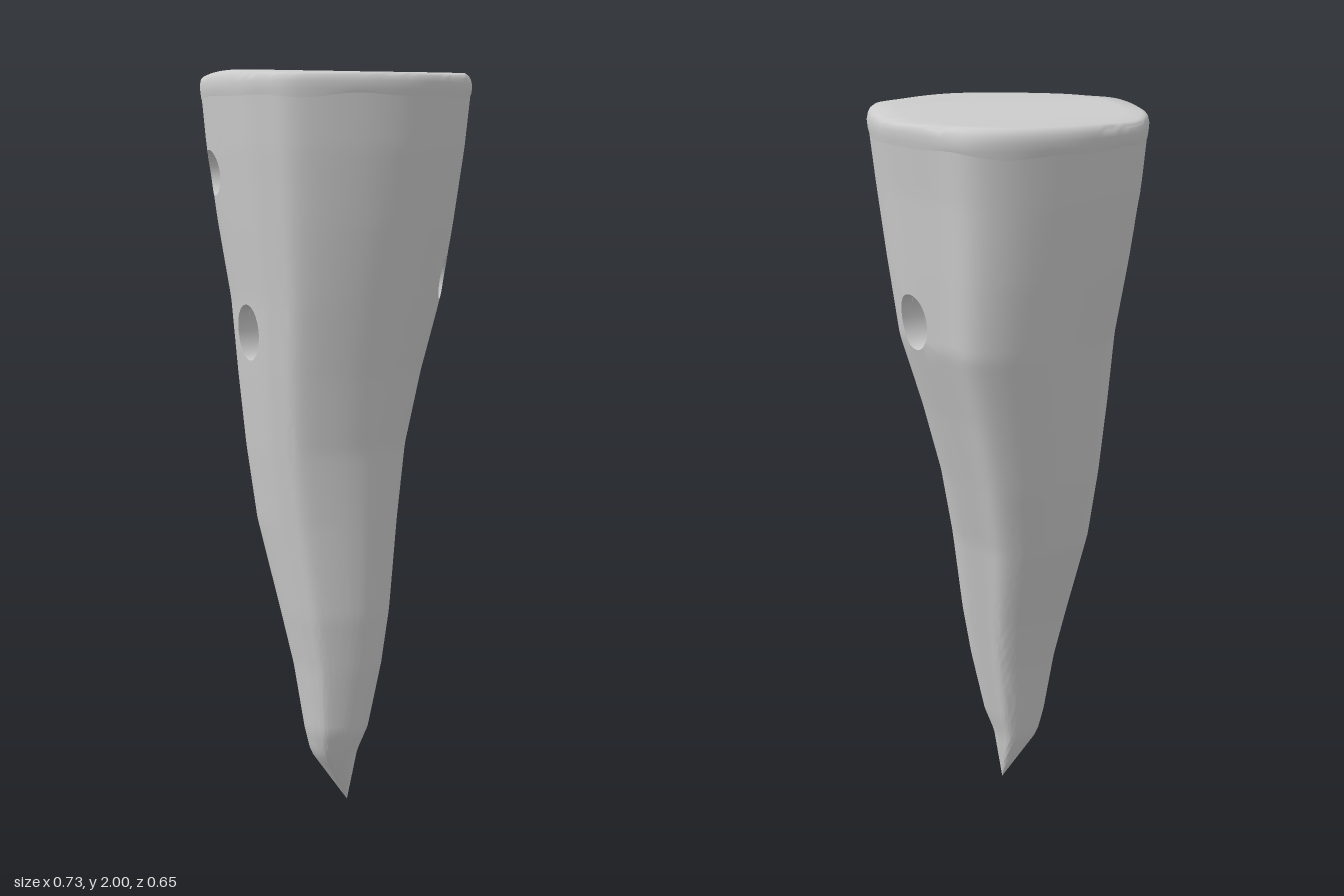
import * as THREE from 'three';
import { toCreasedNormals } from 'three/addons/utils/BufferGeometryUtils.js';

const N = 104; // points around
const material = new THREE.MeshStandardMaterial({ color: 0xcccccc });

// irregular rim outline (x, z)
const rim = [
  [-0.365, 0.045], [-0.335, -0.08], [-0.285, -0.18], [-0.2, -0.285], [-0.12, -0.33], [0, -0.322],
  [0.12, -0.315], [0.18, -0.305], [0.26, -0.26], [0.32, -0.2], [0.355, -0.1], [0.362, 0.01],
  [0.33, 0.105], [0.245, 0.2], [0.09, 0.305], [0.03, 0.325], [-0.04, 0.317], [-0.1, 0.305],
  [-0.2, 0.26], [-0.27, 0.22], [-0.3, 0.19], [-0.33, 0.135]];
const outline = new THREE.CatmullRomCurve3(rim.map(([x, z]) => new THREE.Vector3(x, 0, z)), true, 'centripetal');
outline.arcLengthDivisions = 800;

// extents of the spike by height: y, min x, max x, min z, max z
const extents = [
  [0, 0.065, 0.065, 0.04, 0.04], [0.15, -0.02, 0.105, 0.018, 0.142], [0.22, -0.035, 0.135, 0, 0.165],
  [0.4, -0.07, 0.168, -0.035, 0.185], [0.55, -0.11, 0.185, -0.065, 0.205], [0.8, -0.185, 0.195, -0.115, 0.225],
  [1, -0.22, 0.203, -0.168, 0.243], [1.2, -0.247, 0.235, -0.222, 0.262], [1.4, -0.272, 0.277, -0.28, 0.28],
  [1.6, -0.31, 0.312, -0.295, 0.298], [1.8, -0.343, 0.343, -0.308, 0.314], [2, -0.365, 0.362, -0.328, 0.325]];

function extentAt(y) {
  let k = 1;
  while (k < extents.length - 1 && extents[k][0] < y) k++;
  const a = extents[k - 1], b = extents[k];
  const t = (y - a[0]) / (b[0] - a[0]);
  return a.map((v, i) => v + (b[i] - v) * t);
}

// point on the skin; scale shrinks the section toward its middle
function skin(u, y, scale = 1) {
  const p = outline.getPointAt(((u % 1) + 1) % 1);
  const [, x0, x1, z0, z1] = extentAt(y);
  const lerp = THREE.MathUtils.lerp;
  const x = lerp(x0, x1, (p.x + 0.365) / 0.727), z = lerp(z0, z1, (p.z + 0.33) / 0.655);
  const cx = (x0 + x1) / 2, cz = (z0 + z1) / 2;
  return new THREE.Vector3(cx + (x - cx) * scale, y, cz + (z - cz) * scale);
}

// closed-around surface from rows of points, listed bottom to top
function loft(rows, crease) {
  const index = [];
  for (let j = 0; j < rows.length - 1; j++) {
    for (let i = 0; i < N; i++) {
      const a = j * N + i, b = j * N + (i + 1) % N;
      index.push(a, a + N, b, b, a + N, b + N);
    }
  }
  const geometry = new THREE.BufferGeometry().setFromPoints(rows.flat());
  geometry.setIndex(index);
  return toCreasedNormals(geometry, crease);
}

// bend a square block of the grid into a round pocket
function carveHole(rows, dy, { x, y, z, rx, ry }) {
  let u = 0, best = Infinity;
  for (let k = 0; k < 1000; k++) {
    const p = skin(k / 1000, y);
    const d = Math.hypot(p.x - x, p.z - z);
    if (d < best) { best = d; u = k / 1000; }
  }
  const perUnit = skin(u + 0.01, y).distanceTo(skin(u - 0.01, y)) / 0.02;
  const inward = skin(u, y, 0).sub(skin(u, y)).normalize();
  const size = [0, 0.5, 0.9, 0.98, 1];       // ring radius, centre to rim
  const depth = [0.15, 0.145, 0.13, 0.03, 0];
  const ci = Math.round(u * N), cj = Math.round(y / dy);
  for (let a = -4; a <= 4; a++) {
    for (let b = -4; b <= 4; b++) {
      const ring = Math.max(Math.abs(a), Math.abs(b));
      const f = size[ring] / (Math.hypot(a, b) || 1);
      const p = skin(u + a * f * rx / perUnit, y + b * f * ry).addScaledVector(inward, depth[ring]);
      rows[cj + b][(ci + a + N) % N].copy(p);
    }
  }
}

function row(y, scale, lift = () => 0) {
  return Array.from({ length: N }, (_, i) => {
    const p = skin(i / N, y, scale);
    p.y += lift(p, i / N * Math.PI * 2);
    return p;
  });
}

export function createModel() {
  const model = new THREE.Group();
  const add = (name, geometry) => {
    const mesh = new THREE.Mesh(geometry, material);
    mesh.name = name;
    model.add(mesh);
  };

  // tapering spike with four holes
  const steps = 97, dy = 1.95 / steps;
  const rows = Array.from({ length: steps + 1 }, (_, j) => row(j * dy, 1));
  const holes = [
    { x: -0.258, y: 1.735, z: 0.2, rx: 0.05, ry: 0.06 },
    { x: -0.142, y: 1.315, z: 0.23, rx: 0.052, ry: 0.075 },
    { x: 0.275, y: 1.455, z: -0.125, rx: 0.043, ry: 0.058 },
    { x: 0.115, y: 1.465, z: -0.27, rx: 0.052, ry: 0.075 }];
  holes.forEach(hole => carveHole(rows, dy, hole));
  add('spike', loft(rows, 0.7));

  // rounded, gently rippled lid with an uneven lower edge
  const ripple = p => 0.006 * Math.sin((p.x + p.z) * 11 + 0.6);
  const edge = (p, t) => 0.004 * Math.sin(t * 5) + 0.003 * Math.sin(t * 9 + 1);
  const lid = [
    row(1.93, 1.002, edge), row(1.945, 1.006), row(1.965, 1.005), row(1.98, 0.992),
    row(1.988, 0.975, p => ripple(p) * 0.5), row(1.993, 0.945, ripple)];
  for (const s of [0.8, 0.6, 0.4, 0.2, 0]) lid.push(row(1.994, s, ripple));
  add('lid', loft(lid, 1));

  return model;
}
